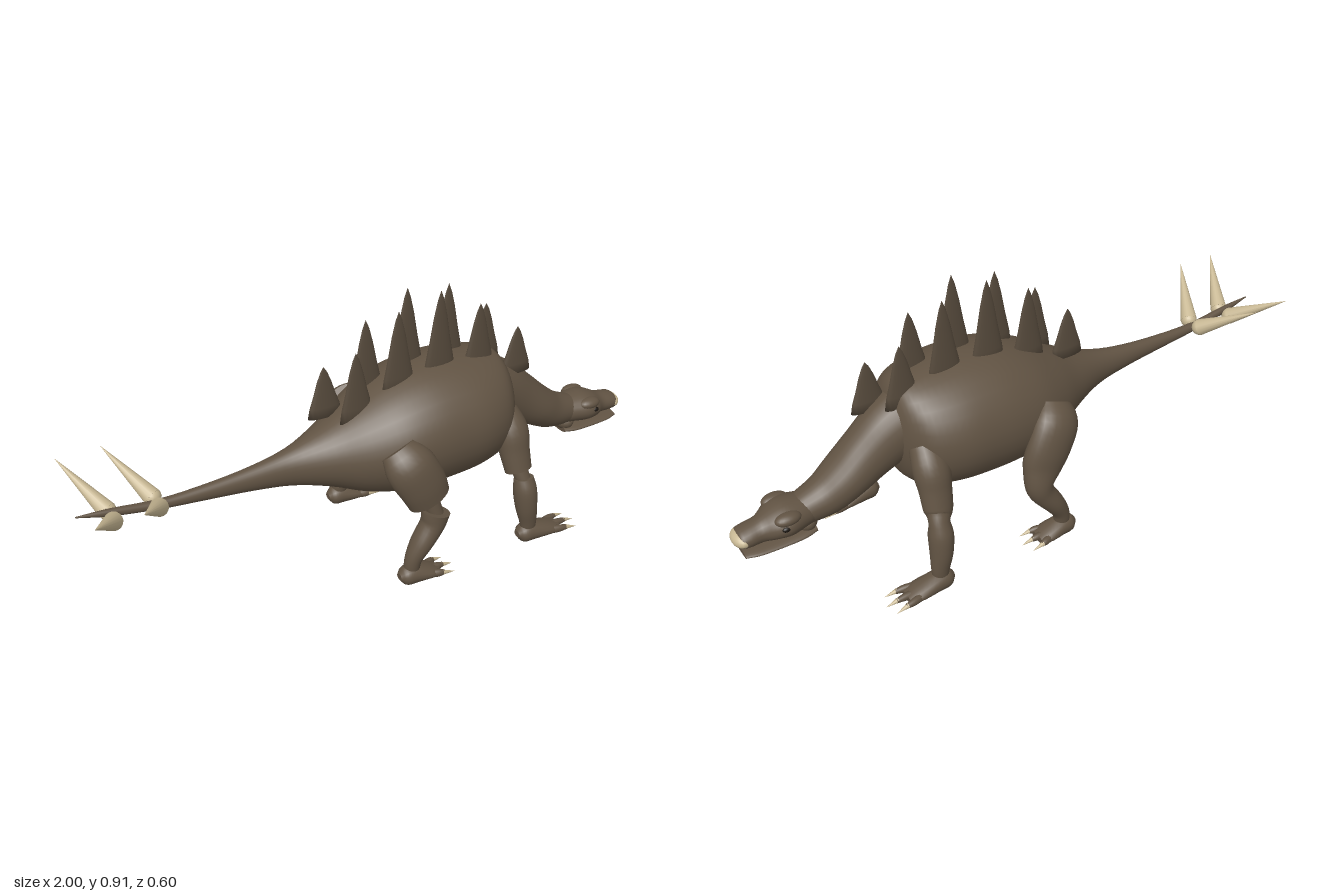
import * as THREE from 'three';

const mat = (name, color) => Object.assign(new THREE.MeshStandardMaterial({ color }), { name });

// Smooth skin through oval sections [x, y, z, radius in profile, radius sideways].
// When upright, the sections stay square to the x axis; otherwise they follow the path.
function loft(sections, { upright = false, sides = 24, steps = 4 } = {}) {
  const path = new THREE.CatmullRomCurve3(sections.map(s => new THREE.Vector3(s[0], s[1], s[2])), false, 'catmullrom', 0.5);
  const radii = new THREE.CatmullRomCurve3(sections.map(s => new THREE.Vector3(s[3], s[4], 0)), false, 'catmullrom', 0.5);
  const n = (sections.length - 1) * steps, pos = [], idx = [];
  for (let i = 0; i <= n; i++) {
    const p = path.getPoint(i / n), r = radii.getPoint(i / n);
    const t = upright ? new THREE.Vector3(1, 0, 0) : path.getTangent(i / n);
    const side = new THREE.Vector3(0, 0, 1).addScaledVector(t, -t.z).normalize();
    const up = side.clone().cross(t);
    for (let j = 0; j < sides; j++) {
      const a = j / sides * Math.PI * 2;
      const v = p.clone().addScaledVector(up, Math.cos(a) * Math.max(r.x, 0.001)).addScaledVector(side, Math.sin(a) * Math.max(r.y, 0.001));
      pos.push(v.x, v.y, v.z);
    }
  }
  for (let i = 0; i < n; i++) for (let j = 0; j < sides; j++) {
    const k = (j + 1) % sides, a = i * sides + j, c = i * sides + k;
    idx.push(a, c, a + sides, c, c + sides, a + sides);
  }
  // end caps with their own rims, so the edges stay sharp
  for (const [row, end] of [[0, false], [n, true]]) {
    const p = path.getPoint(row / n), base = pos.length / 3;
    pos.push(p.x, p.y, p.z);
    pos.push(...pos.slice(row * sides * 3, (row + 1) * sides * 3));
    for (let j = 0; j < sides; j++) {
      const a = base + 1 + j, b = base + 1 + (j + 1) % sides;
      idx.push(base, ...(end ? [a, b] : [b, a]));
    }
  }
  const g = new THREE.BufferGeometry();
  g.setAttribute('position', new THREE.Float32BufferAttribute(pos, 3));
  g.setIndex(idx);
  g.computeVertexNormals();
  return g;
}

export function createModel() {
  const model = new THREE.Group();
  const hide = mat('brown hide', 0x615343), plateMat = mat('dark plate', 0x564a3c);
  const horn = mat('pale horn', 0xc8b894), dark = mat('dark eye', 0x1c1712);

  const add = (name, geometry, material, parent = model) => {
    const m = new THREE.Mesh(geometry, material);
    m.name = name;
    parent.add(m);
    return m;
  };
  const ball = (name, material, p, s, parent) => {
    const m = add(name, new THREE.SphereGeometry(1, 20, 14), material, parent);
    m.position.set(...p);
    m.scale.set(...s);
    return m;
  };
  // cone running from a base point to a tip
  const spike = (name, base, tip, r, parent) => {
    const a = new THREE.Vector3(...base), d = new THREE.Vector3(...tip).sub(a);
    const m = add(name, new THREE.ConeGeometry(r, d.length(), 16), horn, parent);
    m.position.copy(a).addScaledVector(d, 0.5);
    m.quaternion.setFromUnitVectors(new THREE.Vector3(0, 1, 0), d.normalize());
  };

  // body and tail: [x, top, bottom, half width]
  const trunk = [
    [-1, 0.457, 0.453, 0.002], [-0.9, 0.45, 0.425, 0.011], [-0.75, 0.43, 0.398, 0.016],
    [-0.6, 0.432, 0.38, 0.022], [-0.45, 0.445, 0.362, 0.032], [-0.32, 0.47, 0.34, 0.052],
    [-0.2, 0.515, 0.305, 0.105], [-0.1, 0.57, 0.265, 0.165], [0, 0.62, 0.24, 0.21],
    [0.1, 0.65, 0.234, 0.228], [0.2, 0.66, 0.236, 0.232], [0.3, 0.655, 0.245, 0.227],
    [0.39, 0.642, 0.26, 0.195], [0.44, 0.622, 0.295, 0.14], [0.47, 0.56, 0.36, 0.08],
  ];
  add('bodyAndTail', loft(trunk.map(([x, t, b, w]) => [x, (t + b) / 2, 0, (t - b) / 2, w]), { upright: true, sides: 32 }), hide);

  // neck
  add('neck', loft([
    [0.38, 0.50, 0, 0.12, 0.11], [0.46, 0.465, 0, 0.108, 0.097], [0.54, 0.415, 0, 0.09, 0.088],
    [0.62, 0.36, 0, 0.075, 0.085], [0.69, 0.318, 0, 0.066, 0.072], [0.78, 0.296, 0, 0.05, 0.055],
  ]), hide);

  // head
  const head = new THREE.Group();
  head.name = 'head';
  model.add(head);
  add('skull', loft([
    [0.73, 0.296, 0, 0.045, 0.05], [0.78, 0.298, 0, 0.05, 0.066], [0.83, 0.298, 0, 0.053, 0.08],
    [0.87, 0.293, 0, 0.048, 0.07], [0.91, 0.283, 0, 0.039, 0.046], [0.95, 0.279, 0, 0.034, 0.046],
    [0.975, 0.278, 0, 0.028, 0.042], [0.985, 0.278, 0, 0.015, 0.025],
  ], { upright: true }), hide, head);
  add('lowerJaw', loft([
    [0.745, 0.228, 0, 0.012, 0.045], [0.80, 0.226, 0, 0.013, 0.056],
    [0.92, 0.226, 0, 0.011, 0.053], [0.975, 0.227, 0, 0.009, 0.04],
  ], { upright: true }), hide, head);
  ball('jawHinge', hide, [0.765, 0.25, 0], [0.035, 0.032, 0.045], head);
  ball('beak', horn, [0.968, 0.278, 0], [0.031, 0.025, 0.046], head);
  for (const s of [1, -1]) {
    ball('brow', hide, [0.835, 0.325, s * 0.052], [0.042, 0.02, 0.026], head);
    ball('eye', dark, [0.85, 0.304, s * 0.071], [0.014, 0.009, 0.009], head);
  }

  // back plates in two staggered rows: [x, tip height]
  const plates = [[-0.172, 0.705], [-0.098, 0.77], [-0.022, 0.83], [0.052, 0.875], [0.127, 0.905],
    [0.203, 0.91], [0.28, 0.885], [0.353, 0.83], [0.428, 0.78], [0.505, 0.71]];
  const plateBase = [0.53, 0.53, 0.56, 0.59, 0.60, 0.60, 0.60, 0.59, 0.57, 0.54];
  const profile = [[0, 0], [0.06, 0], [0.053, 0.2], [0.038, 0.45], [0.025, 0.7], [0.012, 0.89], [0, 1]];
  plates.forEach(([x, tip], i) => {
    const p = add('backPlate', new THREE.LatheGeometry(profile.map(q => new THREE.Vector2(...q)), 16), plateMat);
    p.position.set(x, plateBase[i], i % 2 ? 0.037 : -0.039);
    p.scale.set(1, tip - plateBase[i], 0.28);
  });

  // paired tail spikes with rounded roots
  for (const s of [1, -1]) for (const x of [-0.9, -0.76]) {
    spike('tailSpike', [x, 0.425, s * 0.03], [x - 0.093, 0.542, s * 0.2], 0.029);
    ball('tailSpikeRoot', horn, [x, 0.425, s * 0.03], [0.028, 0.028, 0.028]);
  }

  // foot with three clawed toes, heel at x
  const foot = (x, z, length, parent) => {
    add('foot', loft([
      [x - 0.045, 0.036, z, 0.012, 0.015], [x - 0.025, 0.034, z, 0.032, 0.032], [x + 0.01, 0.034, z, 0.033, 0.037],
      [x + length * 0.4, 0.027, z, 0.023, 0.042], [x + length * 0.65, 0.02, z, 0.012, 0.036],
    ], { upright: true, sides: 16 }), hide, parent);
    for (const k of [-1, 0, 1]) {
      const reach = length - Math.abs(k) * 0.015, zt = z + k * 0.037;
      add('toe', loft([
        [x + length * 0.4, 0.025, z + k * 0.024, 0.014, 0.013], [x + reach * 0.65, 0.025, z + k * 0.033, 0.013, 0.012],
        [x + reach - 0.03, 0.024, zt, 0.008, 0.008],
      ], { sides: 10 }), hide, parent);
      spike('claw', [x + reach - 0.036, 0.025, zt], [x + reach + 0.008, 0.016, zt + k * 0.004], 0.0085, parent);
    }
  };

  // legs: the left pair is jointed at the knee, the right pair is continuous
  const hindUpper = [[-0.03, 0.48, 0.18, 0.06, 0.04], [-0.01, 0.435, 0.215, 0.082, 0.058], [0.025, 0.37, 0.235, 0.082, 0.052], [0.052, 0.305, 0.238, 0.074, 0.048]];
  const hindLower = [[0.073, 0.25, 0.25, 0.05, 0.042], [0.06, 0.205, 0.25, 0.042, 0.041], [0.02, 0.148, 0.253, 0.036, 0.04], [-0.01, 0.095, 0.254, 0.029, 0.03], [-0.018, 0.045, 0.254, 0.027, 0.024]];
  const foreUpper = [[0.405, 0.46, 0.12, 0.05, 0.05], [0.41, 0.405, 0.165, 0.06, 0.055], [0.413, 0.34, 0.19, 0.053, 0.046], [0.418, 0.275, 0.212, 0.047, 0.04]];
  const foreLower = [[0.428, 0.25, 0.232, 0.034, 0.032], [0.43, 0.205, 0.242, 0.04, 0.042], [0.435, 0.14, 0.25, 0.037, 0.038], [0.443, 0.085, 0.254, 0.031, 0.028], [0.445, 0.045, 0.255, 0.026, 0.022]];
  for (const [name, upper, lower, heel, length] of [['HindLeg', hindUpper, hindLower, -0.018, 0.15], ['Foreleg', foreUpper, foreLower, 0.447, 0.185]]) {
    for (const s of [1, -1]) {
      const leg = new THREE.Group();
      leg.name = (s > 0 ? 'left' : 'right') + name;
      model.add(leg);
      const flip = list => list.map(([x, y, z, a, b]) => [x, y, z * s, a, b]);
      if (s > 0) {
        add('upperLeg', loft(flip(upper)), hide, leg);
        add('lowerLeg', loft(flip(lower)), hide, leg);
        const u = upper.at(-1), l = lower[0];
        add('knee', loft([[u[0], u[1] + 0.01, u[2], 0.028, 0.025], [l[0], l[1] - 0.01, l[2], 0.026, 0.024]]), hide, leg);
      } else {
        add('wholeLeg', loft(flip([...upper, ...lower])), hide, leg);
      }
      foot(heel, s * 0.255, length, leg);
    }
  }
  return model;
}
